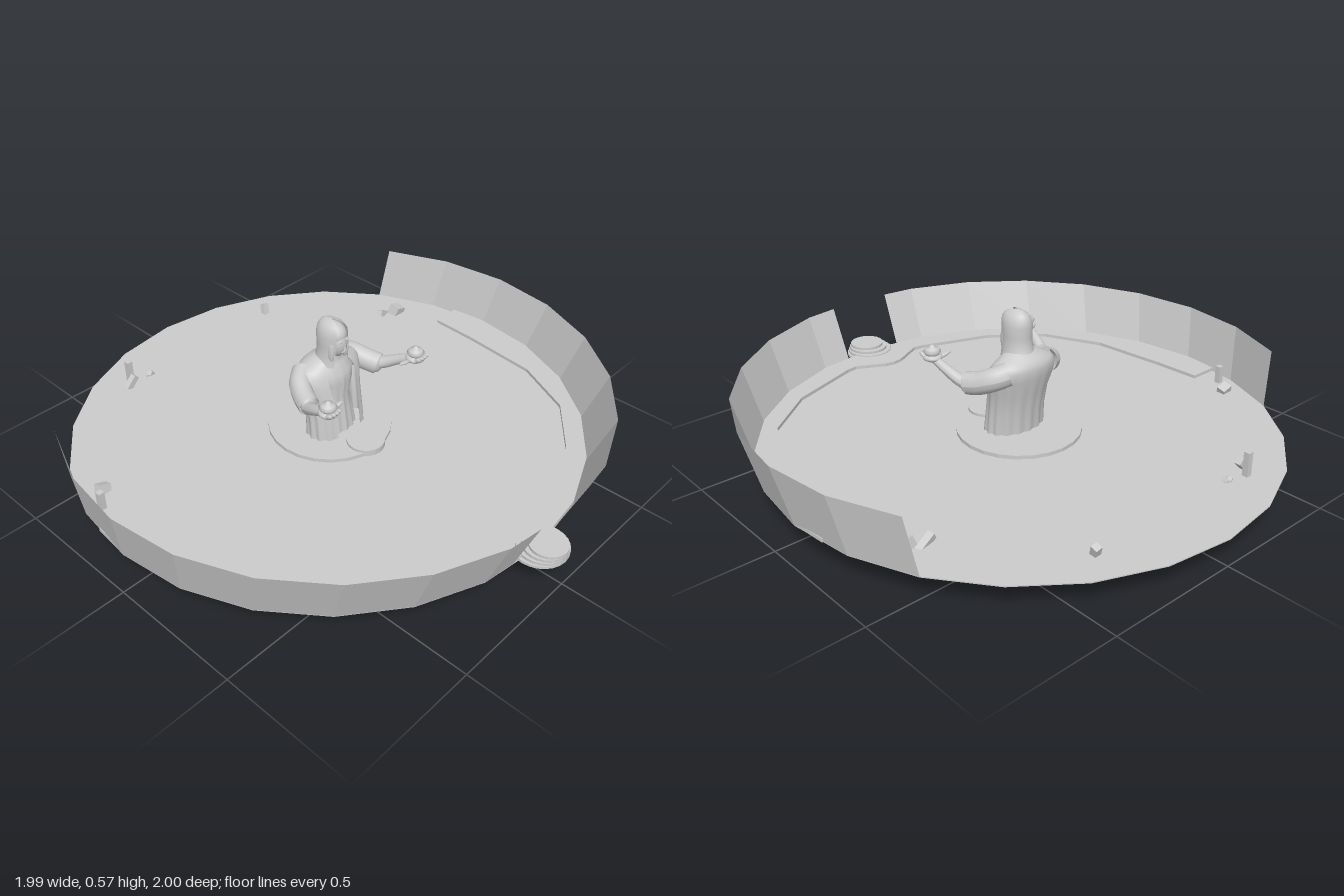
import * as THREE from 'three';

const smooth = new THREE.MeshStandardMaterial({ color: 0xcccccc, side: THREE.DoubleSide });
const flat = new THREE.MeshStandardMaterial({ color: 0xcccccc, side: THREE.DoubleSide, flatShading: true });
const V = (p) => new THREE.Vector3(...p);

// Surface through rows of points, all rows the same length
function skin(rows) {
  const n = rows[0].length, index = [];
  for (let j = 0; j < rows.length - 1; j++)
    for (let i = 0; i < n - 1; i++) {
      const a = j * n + i;
      index.push(a, a + 1, a + n, a + 1, a + n + 1, a + n);
    }
  const g = new THREE.BufferGeometry();
  g.setAttribute('position', new THREE.Float32BufferAttribute(rows.flat(2), 3));
  g.setIndex(index);
  g.computeVertexNormals();
  return g;
}

// Rows of [y, half width, front z, back z]; gap is the half angle left open at the front
function loft(sections, gap, n, fold = () => 1) {
  return skin(sections.map(([y, w, f, b]) =>
    Array.from({ length: n + 1 }, (_, i) => {
      const a = gap + (i / n) * 2 * (Math.PI - gap), k = fold(a, y);
      return [w * k * Math.sin(a), y, (f + b) / 2 + ((f - b) / 2) * k * Math.cos(a)];
    })));
}

export function createModel() {
  const model = new THREE.Group();
  const add = (name, geo, mat = smooth, parent = model) => {
    const m = new THREE.Mesh(geo, mat);
    m.name = name;
    parent.add(m);
    return m;
  };
  const disc = (name, r, y0, y1, z, sides = 24) =>
    add(name, new THREE.CylinderGeometry(r, r, y1 - y0, sides), flat).position.set(0, (y0 + y1) / 2, z);
  const ball = (name, p, s, parent) => {
    const m = add(name, new THREE.SphereGeometry(1, 18, 12), smooth, parent);
    m.position.set(...p);
    m.scale.set(...s);
    return m;
  };
  const bar = (name, p, q, w, d = w) => {
    const dir = V(q).sub(V(p));
    const m = add(name, new THREE.BoxGeometry(w, dir.length(), d), flat);
    m.position.copy(V(p).add(V(q)).multiplyScalar(0.5));
    m.quaternion.setFromUnitVectors(new THREE.Vector3(0, 1, 0), dir.normalize());
  };

  // Round floor
  disc('floor', 0.95, 0.106, 0.11, -0.05);

  // Flared wall, open at the back and at the front entrance
  const steps = [0.5, 1, 2, 3, 4, 5, 6, 7, 8];
  const ring = (r, y, z) => steps.map((k) => {
    const a = (k * Math.PI) / 12, rr = k % 1 ? r * Math.cos(Math.PI / 24) : r;
    return [rr * Math.sin(a), y, z + rr * Math.cos(a)];
  });
  const wallGeo = skin([ring(0.95, 0.108, -0.05), ring(0.995, 0.32, -0.01)]);
  for (const s of [1, -1]) add(s > 0 ? 'leftWall' : 'rightWall', wallGeo, flat).scale.x = s;

  // Raised ledge along the wall
  const inner = [[0.82, -0.19], [0.81, 0], [0.78, 0.3], [0.67, 0.53], [0.47, 0.69], [0.19, 0.79], [0.15, 0.795], [0.09, 0.765], [0.04, 0.737]];
  const outer = [[0, 0.9]];
  for (let k = 1; k <= 6; k++)
    outer.push([0.95 * Math.sin(k * Math.PI / 12), -0.05 + 0.95 * Math.cos(k * Math.PI / 12)]);
  outer.push([0.938, -0.19]);
  const half = [...outer, ...inner];
  const mirrored = half.slice(1).reverse().map(([x, z]) => [-x, z]);
  const ledgeShape = new THREE.Shape([...half, [0, 0.73], ...mirrored].map(([x, z]) => new THREE.Vector2(x, z)));
  const ledge = add('ledge', new THREE.ExtrudeGeometry(ledgeShape, { depth: 0.014, bevelEnabled: false }), flat);
  ledge.rotation.x = Math.PI / 2;
  ledge.position.y = 0.123;

  // Stacked round steps at the entrance
  for (let i = 0; i < 4; i++)
    disc('entranceStep', 0.1 - i * 0.011, 0.107 + i * 0.01, 0.117 + i * 0.01, 0.9 + i * 0.0105);

  // Statue base and offering disc
  disc('statueBase', 0.23, 0.11, 0.124, -0.04);
  disc('offeringDisc', 0.07, 0.11, 0.134, 0.14, 20);

  const statue = new THREE.Group();
  statue.name = 'statue';
  model.add(statue);

  // Inner gown with soft folds toward the hem
  const drape = (n, amp) => (a, y) => 1 + amp * Math.max(0, (0.4 - y) / 0.28) * Math.cos(n * a);
  add('gown', loft([
    [0.12, 0.085, 0.045, -0.07], [0.2, 0.075, 0.035, -0.07], [0.27, 0.066, 0.025, -0.07],
    [0.33, 0.08, 0.032, -0.08], [0.37, 0.09, 0.025, -0.09], [0.405, 0.065, 0.005, -0.08],
    [0.425, 0.034, 0, -0.06], [0.455, 0.028, 0, -0.055]], 0, 64, drape(14, 0.06)), smooth, statue);

  // Cloak hanging from the shoulders, open at the front
  add('cloak', loft([
    [0.12, 0.122, 0.07, -0.095], [0.2, 0.12, 0.062, -0.1], [0.28, 0.124, 0.05, -0.115],
    [0.34, 0.142, 0.035, -0.13], [0.375, 0.142, 0.022, -0.133], [0.395, 0.122, 0.012, -0.128],
    [0.41, 0.09, 0.005, -0.115], [0.43, 0.05, 0, -0.09]], 0.5, 64, drape(16, 0.04)), smooth, statue);

  // Hood, face and hair
  add('hood', loft([
    [0.405, 0.062, 0.03, -0.105], [0.44, 0.05, 0.03, -0.088], [0.48, 0.05, 0.03, -0.086],
    [0.52, 0.05, 0.034, -0.09], [0.545, 0.044, 0.034, -0.086], [0.562, 0.033, 0.026, -0.076],
    [0.573, 0.017, 0.005, -0.06], [0.577, 0.001, -0.027, -0.029]], 0.65, 36), smooth, statue);
  ball('face', [0, 0.492, -0.01], [0.037, 0.06, 0.045], statue);
  ball('hair', [0, 0.52, -0.022], [0.043, 0.046, 0.052], statue);
  const nose = add('nose', new THREE.ConeGeometry(0.007, 0.028, 4), smooth, statue);
  nose.position.set(0, 0.488, 0.035);
  for (const s of [1, -1]) {
    ball('brow', [s * 0.015, 0.509, 0.026], [0.013, 0.004, 0.006], statue);
    ball('hairLock', [s * 0.036, 0.465, -0.002], [0.01, 0.05, 0.018], statue);
  }
  ball('lips', [0, 0.464, 0.028], [0.011, 0.004, 0.005], statue);

  // Arms with wide sleeves and raised hands holding bowls
  for (const s of [1, -1]) {
    const arm = new THREE.Group();
    arm.name = s > 0 ? 'leftArm' : 'rightArm';
    arm.scale.x = s;
    statue.add(arm);
    const tube = (name, pts, radii, squash) => {
      const path = new THREE.CatmullRomCurve3(pts.map(V)), n = 14;
      const rows = [];
      for (let j = 0; j <= n; j++) {
        const c = path.getPoint(j / n), t = path.getTangent(j / n);
        const side = new THREE.Vector3(0, 1, 0).cross(t).normalize(), up = t.clone().cross(side);
        const r = THREE.MathUtils.lerp(radii[0], radii[1], j / n);
        rows.push(Array.from({ length: 17 }, (_, i) => {
          const a = (i / 16) * Math.PI * 2;
          return c.clone().addScaledVector(side, r * Math.cos(a)).addScaledVector(up, r * squash * Math.sin(a)).toArray();
        }));
      }
      add(name, skin(rows), smooth, arm);
    };
    tube('sleeve', [[0.09, 0.372, -0.085], [0.135, 0.355, -0.055], [0.162, 0.335, -0.01], [0.18, 0.325, 0.035]], [0.04, 0.038], 1.1);
    tube('forearm', [[0.16, 0.33, -0.01], [0.19, 0.33, 0.04], [0.212, 0.36, 0.1], [0.225, 0.392, 0.165]], [0.028, 0.015], 1);
    ball('sleeveEnd', [0.178, 0.328, 0.03], [0.034, 0.038, 0.02], arm);
    ball('palm', [0.225, 0.395, 0.17], [0.036, 0.016, 0.036], arm);
    ball('thumb', [0.178, 0.392, 0.163], [0.03, 0.007, 0.009], arm).rotation.z = -0.2;
    for (let i = 0; i < 4; i++) {
      const f = ball('finger', [0.205 + i * 0.015, 0.402, 0.2 - Math.abs(i - 1.5) * 0.003], [0.007, 0.008, 0.016], arm);
      f.rotation.x = -0.5;
    }
    const bowl = add('bowl', new THREE.LatheGeometry(
      [[0, 0], [0.024, 0.004], [0.032, 0.017], [0.024, 0.028], [0.011, 0.032], [0.008, 0.039], [0, 0.042]]
        .map(([x, y]) => new THREE.Vector2(x, y)), 20), smooth, arm);
    bowl.position.set(0.226, 0.4, 0.17);
  }

  // Broken posts and rubble along the back edge
  bar('fallenPillar', [-0.845, 0.02, -0.315], [-0.805, 0.135, -0.35], 0.045, 0.035);
  bar('post', [-0.865, 0.075, -0.275], [-0.865, 0.18, -0.275], 0.022);
  bar('post', [-0.345, 0.09, -0.8], [-0.345, 0.2, -0.8], 0.022);
  bar('brokenPost', [-0.385, 0.11, -0.765], [-0.345, 0.15, -0.765], 0.024);
  bar('brokenPost', [0.355, 0.06, -0.765], [0.375, 0.145, -0.795], 0.025);
  bar('fallenPillar', [0.742, 0.06, -0.385], [0.77, 0.14, -0.37], 0.05, 0.045);
  bar('brokenPost', [0.68, 0.13, -0.4], [0.745, 0.095, -0.41], 0.025);
  const rock = add('rubble', new THREE.DodecahedronGeometry(0.02), flat);
  rock.position.set(-0.27, 0.108, -0.78);
  rock.scale.set(1.2, 1, 0.8);
  bar('brokenPost', [-0.295, 0.085, -0.78], [-0.255, 0.12, -0.775], 0.018);

  return model;
}
